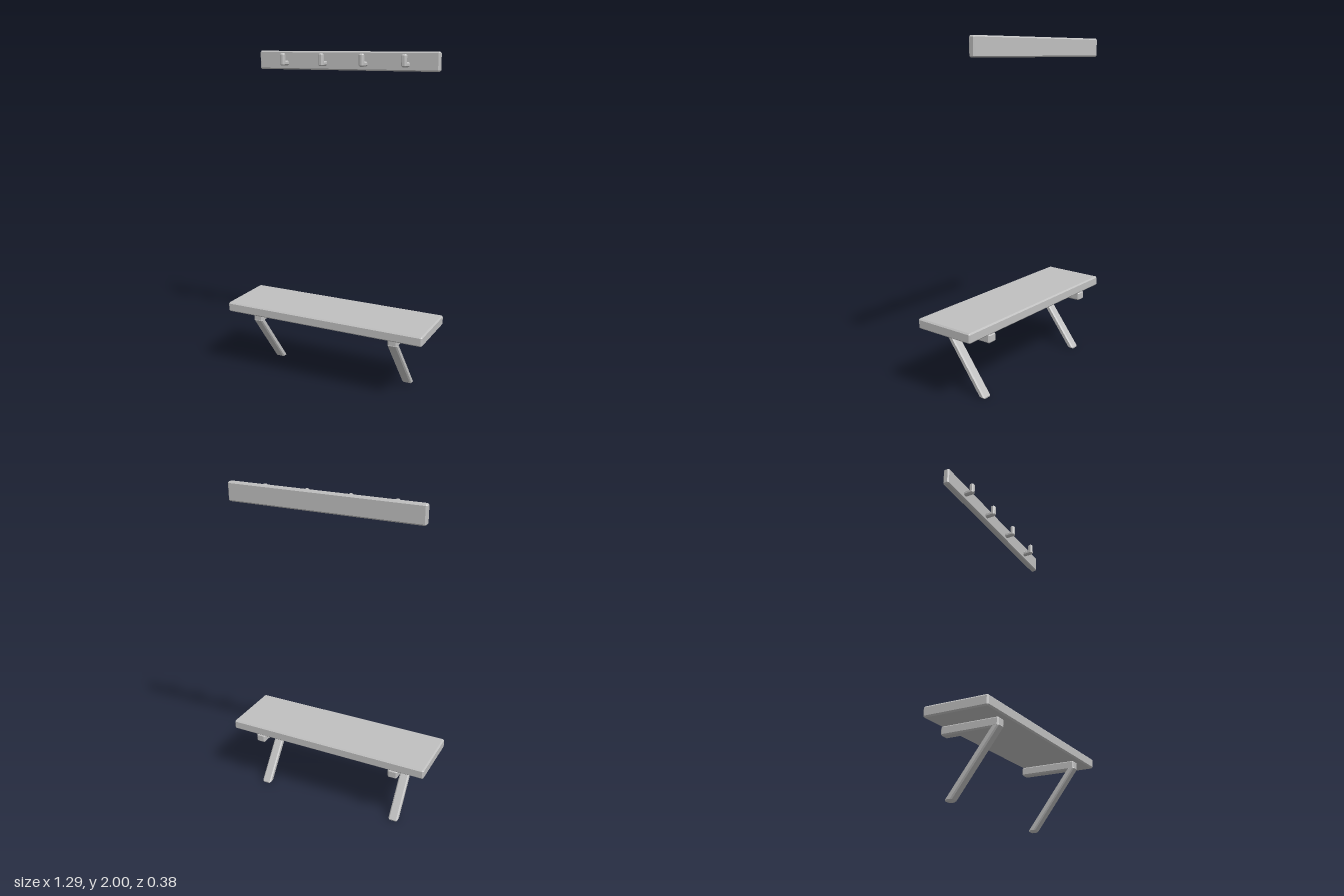
import * as THREE from 'three';
import { ConvexGeometry } from 'three/addons/geometries/ConvexGeometry.js';

// Box with bevelled edges between two corners; shear moves z as y rises
function bevelBox(min, max, bevel, shear = 0) {
  const points = [];
  for (let corner = 0; corner < 8; corner++) {
    for (let full = 0; full < 3; full++) {
      const p = [0, 1, 2].map((axis) => {
        const high = (corner >> axis) & 1;
        const inset = axis === full ? 0 : bevel;
        return high ? max[axis] - inset : min[axis] + inset;
      });
      points.push(new THREE.Vector3(p[0], p[1], p[2] + shear * (p[1] - min[1])));
    }
  }
  return new ConvexGeometry(points);
}

export function createModel() {
  const model = new THREE.Group();
  model.name = 'benchWithCoatRack';
  const grey = new THREE.MeshStandardMaterial({ color: 0xc0c0c0 });
  grey.name = 'grey';

  function add(parent, name, geometry) {
    const mesh = new THREE.Mesh(geometry, grey);
    mesh.name = name;
    parent.add(mesh);
  }

  // Bench seat and wall rail
  add(model, 'seat', bevelBox([-0.645, 0.395, -0.192], [0.645, 0.455, 0.192], 0.008));
  add(model, 'coatRail', bevelBox([-0.58, 1.89, -0.192], [0.58, 2, -0.152], 0.008));

  // Brackets with slanted legs running back to the wall
  for (const x of [-0.452, 0.452]) {
    const support = new THREE.Group();
    support.name = x > 0 ? 'leftSupport' : 'rightSupport';
    const w = 0.03;
    add(support, 'bracket', bevelBox([x - w, 0.345, -0.192], [x + w, 0.398, 0.155], 0.008));
    add(support, 'leg', bevelBox([x - w, 0, -0.157], [x + w, 0.36, -0.115], 0.008, 0.77));
    model.add(support);
  }

  // Four upturned coat hooks
  for (const x of [-0.39, -0.13, 0.13, 0.39]) {
    const hook = new THREE.Group();
    hook.name = 'coatHook';
    const r = 0.015;
    add(hook, 'hookArm', bevelBox([x - r, 1.914, -0.165], [x + r, 1.944, -0.088], 0.008));
    add(hook, 'hookTip', bevelBox([x - r, 1.914, -0.117], [x + r, 1.988, -0.088], 0.008));
    model.add(hook);
  }
  return model;
}
